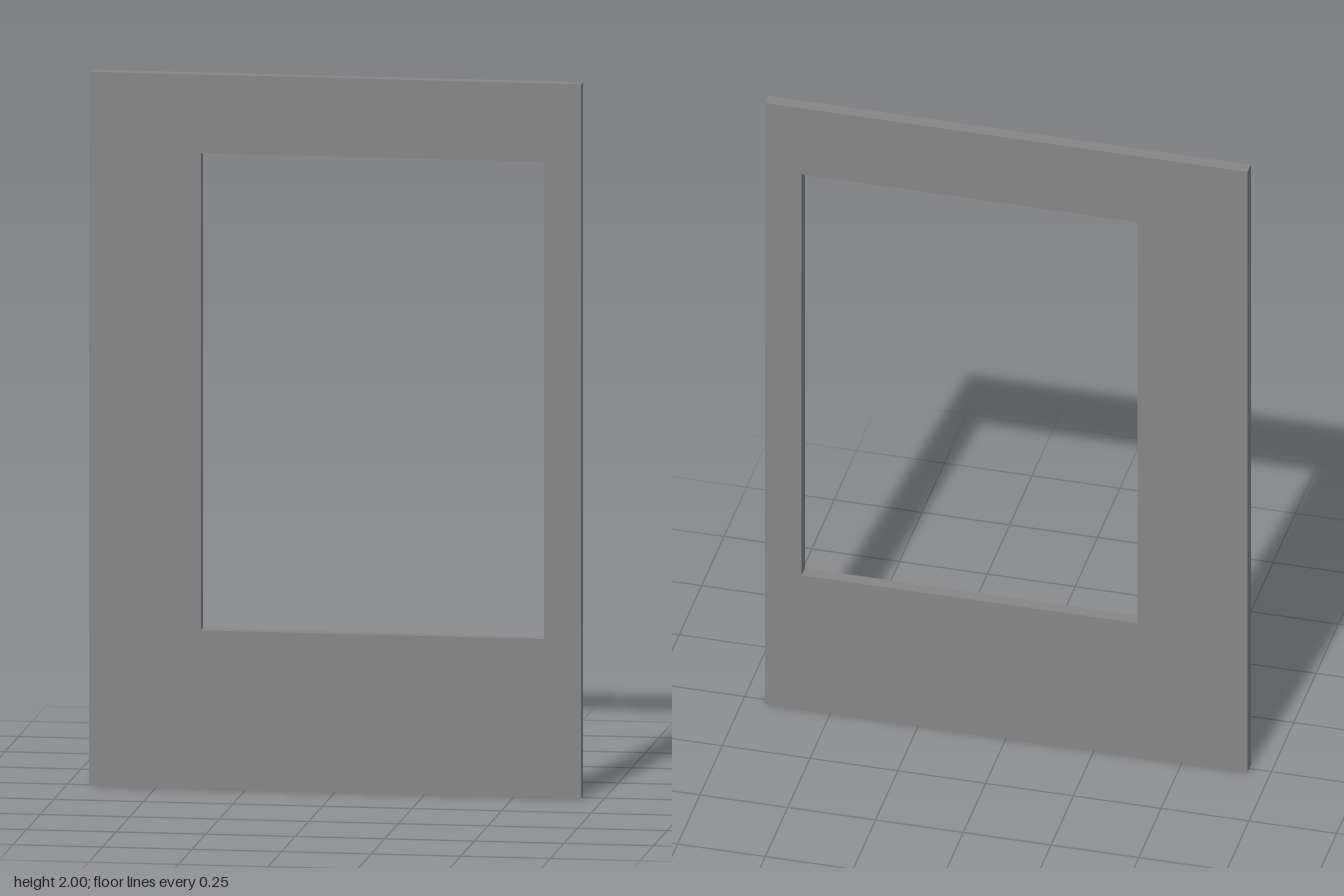
import * as THREE from 'three';

// Rectangle corners, counter-clockwise
const rect = (x0, y0, x1, y1) => [[x0, y0], [x1, y0], [x1, y1], [x0, y1]]
  .map(([x, y]) => new THREE.Vector2(x, y));

export function createModel() {
  const group = new THREE.Group();
  group.name = 'windowPanel';

  const depth = 0.037;

  // Flat panel with an off-centre window opening
  const outline = new THREE.Shape(rect(-0.687, 0, 0.687, 2));
  outline.holes.push(new THREE.Path(rect(-0.374, 0.444, 0.583, 1.78).reverse()));

  const geometry = new THREE.ExtrudeGeometry(outline, { depth, bevelEnabled: false });
  geometry.translate(0, 0, -depth / 2);

  const panel = new THREE.Mesh(geometry, new THREE.MeshStandardMaterial({ color: 0x868686 }));
  panel.name = 'panel';
  group.add(panel);
  return group;
}
